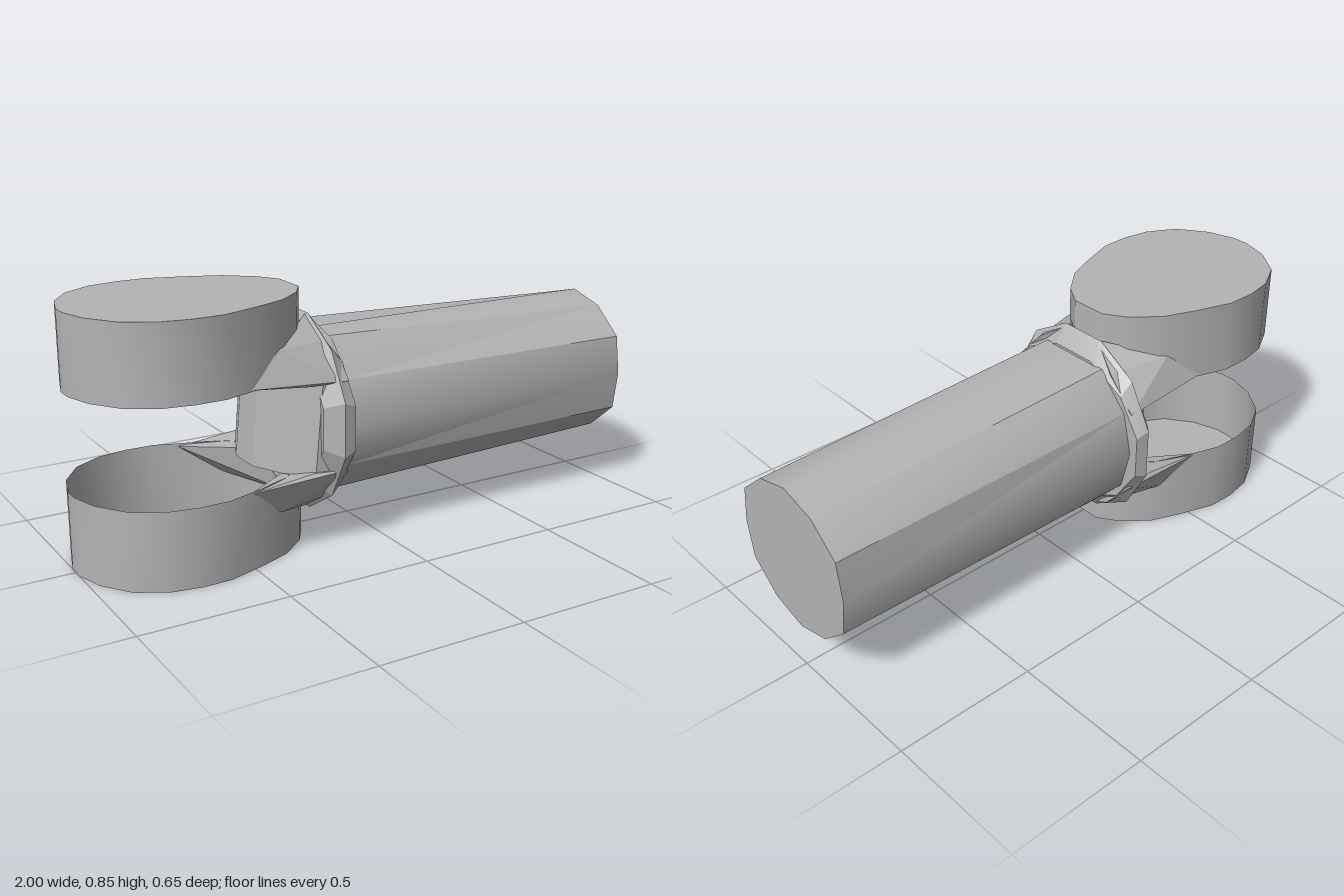
import * as THREE from 'three';
import { toCreasedNormals } from 'three/addons/utils/BufferGeometryUtils.js';
import { ConvexGeometry } from 'three/addons/geometries/ConvexGeometry.js';

const MID = 0.431; // height of the shaft axis

// Skin matching rings of points, optionally closing the first and last ring.
function loft(rings, capStart, capEnd, crease = 0.55) {
  const n = rings[0].length;
  const pos = rings.flat().flatMap((p) => p);
  const idx = [];
  for (let r = 0; r < rings.length - 1; r++) {
    for (let i = 0; i < n; i++) {
      const a = r * n + i, b = r * n + (i + 1) % n;
      idx.push(a, b, a + n, b, b + n, a + n);
    }
  }
  const last = (rings.length - 1) * n;
  for (let i = 1; i < n - 1; i++) {
    if (capStart) idx.push(0, i + 1, i);
    if (capEnd) idx.push(last, last + i, last + i + 1);
  }
  const g = new THREE.BufferGeometry();
  g.setAttribute('position', new THREE.Float32BufferAttribute(pos, 3));
  g.setIndex(idx);
  return toCreasedNormals(g, crease);
}

// Mirror a quarter section [z, y], from top centre to the side, into a closed ring at x.
function shaftRing(x, quarter) {
  const half = [...quarter, ...quarter.slice(0, -1).reverse().map(([z, y]) => [z, -y])];
  const full = [...half, ...half.slice(1, -1).reverse().map(([z, y]) => [-z, y])];
  return full.map(([z, y]) => [x, MID + y, z]);
}

// Twelve-sided ring with a flat top.
function collarRing(x, ry, rz) {
  return Array.from({ length: 12 }, (_, i) => {
    const a = ((i + 0.5) / 12) * Math.PI * 2;
    return [x, MID + ry * Math.cos(a), rz * Math.sin(a)];
  });
}

export function createModel() {
  const group = new THREE.Group();
  const steel = new THREE.MeshStandardMaterial({ color: 0xb4b4b4, side: THREE.DoubleSide });
  steel.name = 'steel grey';
  const add = (name, geometry) => {
    const mesh = new THREE.Mesh(geometry, steel);
    mesh.name = name;
    group.add(mesh);
  };

  // Round rod, broader where it meets the fork
  add('shaft', loft([
    shaftRing(-0.16, [[0, 0.266], [0.135, 0.266], [0.25, 0.145], [0.285, 0]]),
    shaftRing(1, [[0, 0.266], [0.135, 0.23], [0.245, 0.135], [0.265, 0]]),
  ], true, true));

  // Bevelled collar between rod and fork
  add('collar', loft([
    collarRing(-0.25, 0.27, 0.28),
    collarRing(-0.2, 0.35, 0.335),
    collarRing(-0.155, 0.285, 0.325),
    collarRing(-0.155, 0.25, 0.25),
  ], true, true, 0.3));

  // Hollow fork cups, open towards each other
  const side = [[-0.97, 0.13], [-0.9, 0.23], [-0.8, 0.287], [-0.7, 0.305], [-0.6, 0.303],
    [-0.47, 0.26], [-0.36, 0.215], [-0.27, 0.14], [-0.222, 0.065]];
  const outline = [[-1, 0.03], ...side, ...side.map(([x, z]) => [x, -z]).reverse(), [-1, -0.03]];
  const cupRing = (y) => outline.map(([x, z]) => [x, y, z]);
  add('upperCup', loft([cupRing(0.595), cupRing(0.856)], false, true));
  add('lowerCup', loft([cupRing(0.27), cupRing(0.006)], false, true));

  // Web closing the base of the fork
  const webOutline = [[-0.2, 0.26], [-0.25, 0.255], [-0.33, 0.17], [-0.38, 0.06]];
  const webLoop = [...webOutline, ...webOutline.map(([x, z]) => [x, -z]).reverse()];
  add('web', loft([
    webLoop.map(([x, z]) => [x - 0.02, 0.27, z]),
    webLoop.map(([x, z]) => [x + 0.01, 0.595, z]),
  ], true, true, 0.3));

  // Four faceted gussets joining cups and collar
  const gusset = [[-0.52, 0.17, 0.27], [-0.38, 0.27, 0.225], [-0.36, 0.17, 0.2], [-0.28, 0.145, 0.265],
    [-0.16, 0.265, 0.175], [-0.16, 0.15, 0.28], [-0.2, 0.335, 0.07], [-0.24, 0.17, 0.08]];
  for (const sy of [1, -1]) {
    for (const sz of [1, -1]) {
      const points = gusset.map(([x, y, z]) => new THREE.Vector3(x, MID + sy * y, sz * z));
      add(`${sy > 0 ? 'upper' : 'lower'}${sz > 0 ? 'Front' : 'Back'}Gusset`, new ConvexGeometry(points));
    }
  }
  return group;
}
